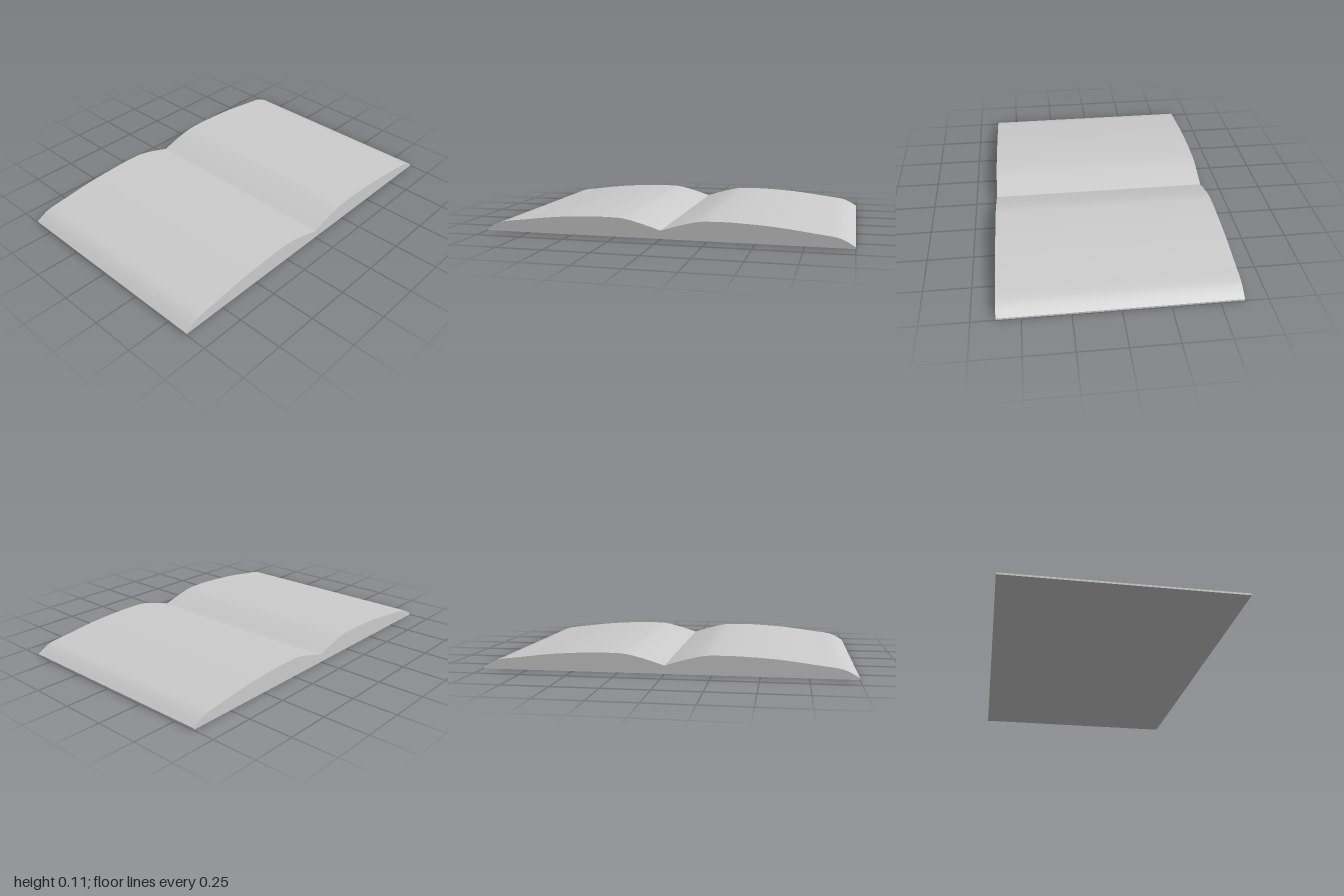
import * as THREE from 'three';
import { toCreasedNormals } from 'three/addons/utils/BufferGeometryUtils.js';

const DEPTH = 1.25;

export function createModel() {
  const group = new THREE.Group();
  group.name = 'openBook';
  const paper = new THREE.MeshStandardMaterial({ color: 0xcccccc });
  paper.name = 'paper grey';

  // Upper curve of one half, from the centre fold to the outer edge
  const curve = new THREE.SplineCurve([
    [0, 0.045], [0.1, 0.076], [0.2, 0.1], [0.28, 0.105], [0.4, 0.104], [0.6, 0.092],
    [0.8, 0.068], [0.9, 0.055], [0.95, 0.038], [1, 0.01],
  ].map(([x, y]) => new THREE.Vector2(x, y)));
  const half = curve.getPoints(45);

  // Whole cross-section: flat base, right half mirrored from the left
  const mirrored = half.slice(1).map((p) => new THREE.Vector2(-p.x, p.y));
  const outline = [
    new THREE.Vector2(-1, 0),
    new THREE.Vector2(1, 0),
    ...half.slice().reverse(),
    ...mirrored,
  ];

  // Page block, smooth over the pages and sharp at the fold and edges
  const block = new THREE.ExtrudeGeometry(new THREE.Shape(outline), { depth: DEPTH, bevelEnabled: false });
  block.translate(0, 0, -DEPTH / 2);
  const pages = new THREE.Mesh(toCreasedNormals(block, 0.4), paper);
  pages.name = 'pages';
  group.add(pages);
  return group;
}
